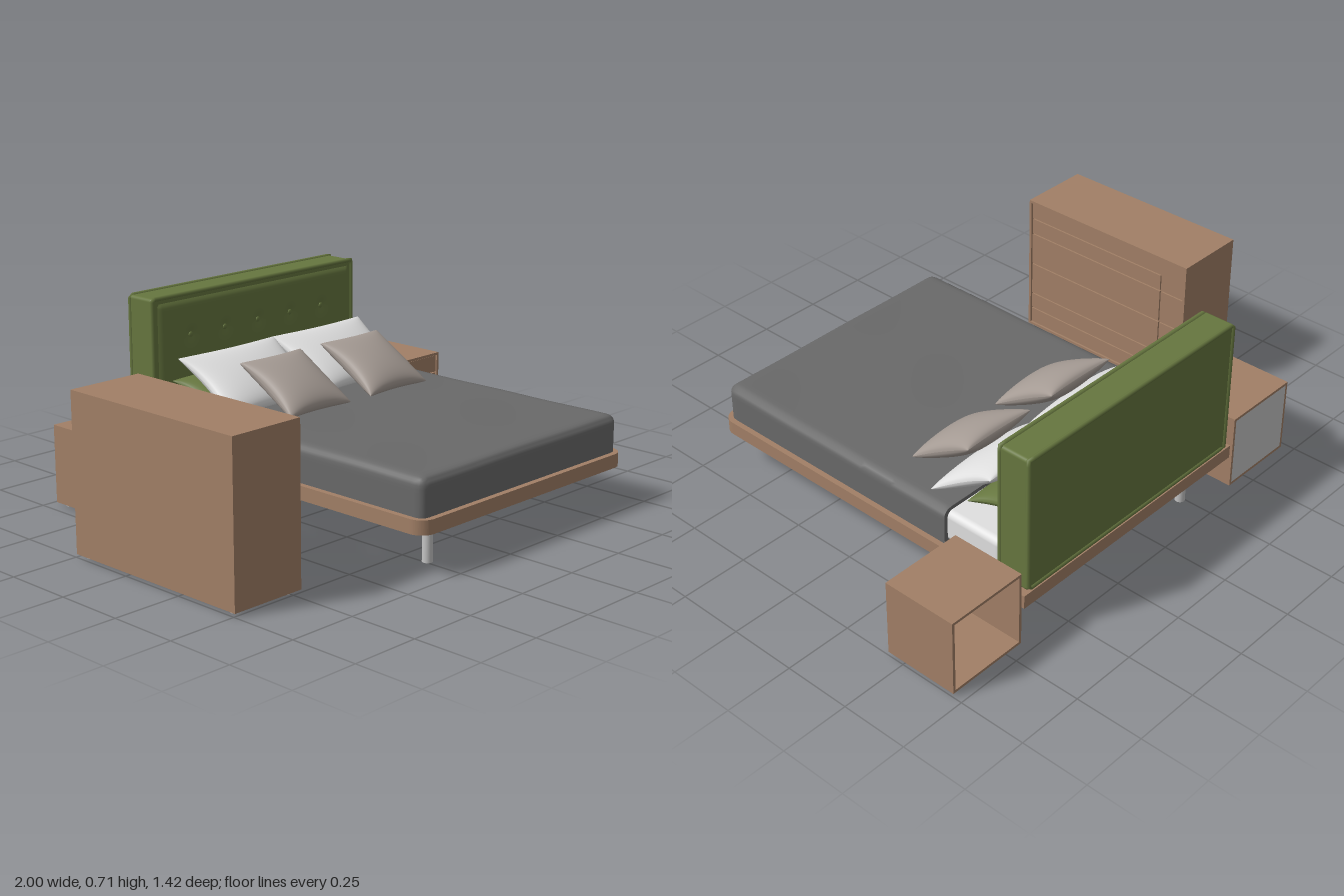
import * as THREE from 'three';
import { mergeGeometries, toCreasedNormals } from 'three/addons/utils/BufferGeometryUtils.js';
import { RoundedBoxGeometry } from 'three/addons/geometries/RoundedBoxGeometry.js';

const mat = (name, color) => {
  const m = new THREE.MeshStandardMaterial({ color });
  m.name = name;
  return m;
};

export function createModel() {
  const wood = mat('wood', 0xa17f66);
  const green = mat('green fabric', 0x66763f);
  const grey = mat('grey blanket', 0x696969);
  const white = mat('white linen', 0xe0e0e0);
  const taupe = mat('taupe fabric', 0xa59b94);
  const metal = mat('pale metal', 0xc4c4c4);

  const model = new THREE.Group();
  model.name = 'bedroomSet';

  const add = (parent, name, geo, material, x = 0, y = 0, z = 0) => {
    const mesh = new THREE.Mesh(geo, material);
    mesh.name = name;
    mesh.position.set(x, y, z);
    parent.add(mesh);
    return mesh;
  };
  // Box given by its lower and upper corners
  const box = (parent, name, material, a, b) => add(parent, name,
    new THREE.BoxGeometry(b[0] - a[0], b[1] - a[1], b[2] - a[2]), material,
    (a[0] + b[0]) / 2, (a[1] + b[1]) / 2, (a[2] + b[2]) / 2);

  // Cabinet facing +z: shell, drawer fronts with a stepped outline groove, feet
  function cabinet(name, w, top, d, drawers, grip, side, back) {
    const g = new THREE.Group();
    g.name = name;
    model.add(g);
    const X = w / 2, Z = d / 2, y0 = 0.012, t = 0.01, gap = 0.0025;
    box(g, 'topPanel', wood, [-X, top - t, -Z], [X, top, Z]);
    box(g, 'bottomPanel', wood, [-X, y0, -Z], [X, y0 + t, Z]);
    for (const s of [-1, 1]) {
      const x = s * (X - t / 2);
      box(g, 'sidePanel', wood, [x - t / 2, y0 + t, -Z], [x + t / 2, top - t, Z]);
      for (const f of [-1, 1])
        add(g, 'foot', new THREE.CylinderGeometry(0.017, 0.017, y0, 16), metal, s * (X - 0.035), y0 / 2, f * (Z - 0.035));
    }
    box(g, 'carcass', wood, [-X + t, y0 + t, Z - 0.03], [X - t, top - t, Z - 0.015]);
    if (back) box(g, 'backPanel', back, [-X + t, y0 + t, -Z], [X - t, top - t, -Z + 0.008]);

    const lo = y0 + t, step = (top - t - lo) / drawers, split = -X + t + grip.width;
    const front = (x0, x1, a, b) => {
      if (b - a < 0.01) return;
      const [l, r] = side < 0 ? [x0, x1] : [-x1, -x0];
      box(g, 'drawerFront', wood, [l, a, Z - 0.016], [r, b, Z - 0.005]);
    };
    for (let i = 0; i < drawers; i++) {
      const a = lo + i * step + gap, b = lo + (i + 1) * step - gap;
      front(split + gap, X - t - gap, a, b);
      front(-X + t + gap, split + gap, a, Math.min(b, grip.y0 - gap));
      front(-X + t + gap, split + gap, Math.max(a, grip.y1 + gap), b);
      front(-X + t + gap, split - gap, Math.max(a, grip.y0 + gap), Math.min(b, grip.y1 - gap));
    }
    return g;
  }

  const standGrip = { width: 0.18, y0: 0.09, y1: 0.215 };
  cabinet('rightNightstand', 0.31, 0.295, 0.28, 2, standGrip, -1, metal).position.set(-0.56, 0, -0.575);
  cabinet('leftNightstand', 0.31, 0.295, 0.28, 2, standGrip, 1, null).position.set(0.843, 0, -0.575);
  const dresser = cabinet('dresser', 0.75, 0.565, 0.28, 4, { width: 0.625, y0: 0.088, y1: 0.488 }, -1, wood);
  dresser.rotation.y = Math.PI / 2;
  dresser.position.set(-0.86, 0, 0.13);

  // Bed, centred on its own x axis
  const bed = new THREE.Group();
  bed.name = 'bed';
  bed.position.x = 0.143;
  model.add(bed);

  // Platform slab with rounded foot corners
  const W = 0.532, F = 0.71, B = -0.715, R = 0.055;
  const slab = new THREE.Shape();
  slab.moveTo(-W, -B);
  slab.lineTo(-W, -F + R);
  slab.absarc(-W + R, -F + R, R, Math.PI, Math.PI * 1.5);
  slab.absarc(W - R, -F + R, R, -Math.PI / 2, 0);
  slab.lineTo(W, -B);
  const slabGeo = new THREE.ExtrudeGeometry(slab, { depth: 0.05, bevelEnabled: false, curveSegments: 10 });
  slabGeo.rotateX(-Math.PI / 2);
  add(bed, 'platform', slabGeo, wood, 0, 0.145, 0);
  for (const z of [0.6, -0.625])
    add(bed, 'leg', new THREE.CylinderGeometry(0.018, 0.018, 0.145, 24), metal, -0.383, 0.0725, z);

  add(bed, 'mattress', new RoundedBoxGeometry(0.995, 0.12, 1.265, 4, 0.025), white, 0, 0.255, 0.047);

  // Blanket: box rounded along the top, sides and foot, with faint folds
  const hx = 0.512, hy = 0.0665, hz = 0.5225, r = 0.03;
  let blanket = new THREE.BoxGeometry(2 * hx, 2 * hy, 2 * hz, 60, 10, 60);
  const bp = blanket.attributes.position, p = new THREE.Vector3(), c = new THREE.Vector3();
  for (let i = 0; i < bp.count; i++) {
    p.fromBufferAttribute(bp, i);
    c.set(THREE.MathUtils.clamp(p.x, -hx + r, hx - r), Math.min(p.y, hy - r), Math.min(p.z, hz - r));
    const off = p.clone().sub(c);
    if (off.length() > r) p.copy(c).addScaledVector(off.normalize(), r);
    if (p.y > hy - r) p.y += 0.0015 * Math.sin(p.x * 7 + p.z * 9) * Math.cos(p.z * 5 - p.x * 4);
    bp.setXYZ(i, p.x, p.y, p.z);
  }
  blanket = toCreasedNormals(blanket, 0.8);
  add(bed, 'blanket', blanket, grey, 0, 0.262, 0.1675);

  // Headboard: padded body, piping round both faces, tufted front
  const board = new THREE.Group();
  board.name = 'headboard';
  bed.add(board);
  add(board, 'headboardBody', new RoundedBoxGeometry(1.018, 0.508, 0.122, 4, 0.012), green, 0, 0.449, -0.647);
  const hw = 0.504, yb = 0.203, yt = 0.7;
  const corners = [[-hw, yb], [-hw, yt], [hw, yt], [hw, yb]];
  for (const z of [-0.59, -0.705]) {
    const path = new THREE.CurvePath();
    corners.forEach((a, i) => {
      const b = corners[(i + 1) % 4];
      path.add(new THREE.LineCurve3(new THREE.Vector3(a[0], a[1], z), new THREE.Vector3(b[0], b[1], z)));
    });
    add(board, 'piping', new THREE.TubeGeometry(path, 160, 0.009, 8, true), green);
  }
  const buttons = [-2, -1, 0, 1, 2].map((i) => i * 0.166);
  const tuft = new THREE.PlaneGeometry(0.97, 0.465, 100, 48);
  const tp = tuft.attributes.position;
  for (let i = 0; i < tp.count; i++) {
    const x = tp.getX(i), y = tp.getY(i);
    const edge = Math.min(1, (0.485 - Math.abs(x)) / 0.02, (0.2325 - Math.abs(y)) / 0.02);
    let z = 0.011 * Math.sqrt(Math.max(0, edge));
    for (const b of buttons) z -= 0.008 * Math.exp(-((x - b) ** 2 + (y - 0.1) ** 2) / 0.0006);
    tp.setZ(i, z);
  }
  tuft.computeVertexNormals();
  add(board, 'tuftedPanel', tuft, green, 0, 0.45, -0.5875);
  for (const b of buttons) {
    const knob = add(board, 'button', new THREE.SphereGeometry(0.01, 16, 10), green, b, 0.55, -0.583);
    knob.scale.z = 0.5;
  }

  // Cushion: two bulging sheets meeting at a pinched rim
  function cushion(name, material, w, h, t, x, y, z, tilt) {
    const sheets = [0, Math.PI].map((turn) => {
      const g = new THREE.PlaneGeometry(2, 2, 28, 28);
      g.rotateY(turn);
      const a = g.attributes.position, s = turn ? -1 : 1;
      for (let i = 0; i < a.count; i++) {
        const u = Math.sin(a.getX(i) * Math.PI / 2), v = Math.sin(a.getY(i) * Math.PI / 2);
        const bulge = Math.max(0, (1 - u * u) * (1 - v * v)) ** 0.42;
        a.setXYZ(i, u * w / 2 * (1 - 0.1 * (1 - v * v)), v * h / 2 * (1 - 0.08 * (1 - u * u)), s * bulge * t / 2);
      }
      g.computeVertexNormals();
      return g;
    });
    const m = add(bed, name, mergeGeometries(sheets), material, x, y, z);
    m.rotation.x = tilt - Math.PI / 2;
  }
  for (const s of [-1, 1]) {
    cushion('backCushion', green, 0.38, 0.21, 0.075, s * 0.238, 0.364, -0.478, 0.3);
    cushion('pillow', white, 0.47, 0.31, 0.1, s * 0.226 - 0.002, 0.412, -0.375, 0.57);
    cushion('frontCushion', taupe, 0.3, 0.295, 0.1, s * 0.202 + 0.026, 0.408, -0.208, 0.54);
  }

  return model;
}
